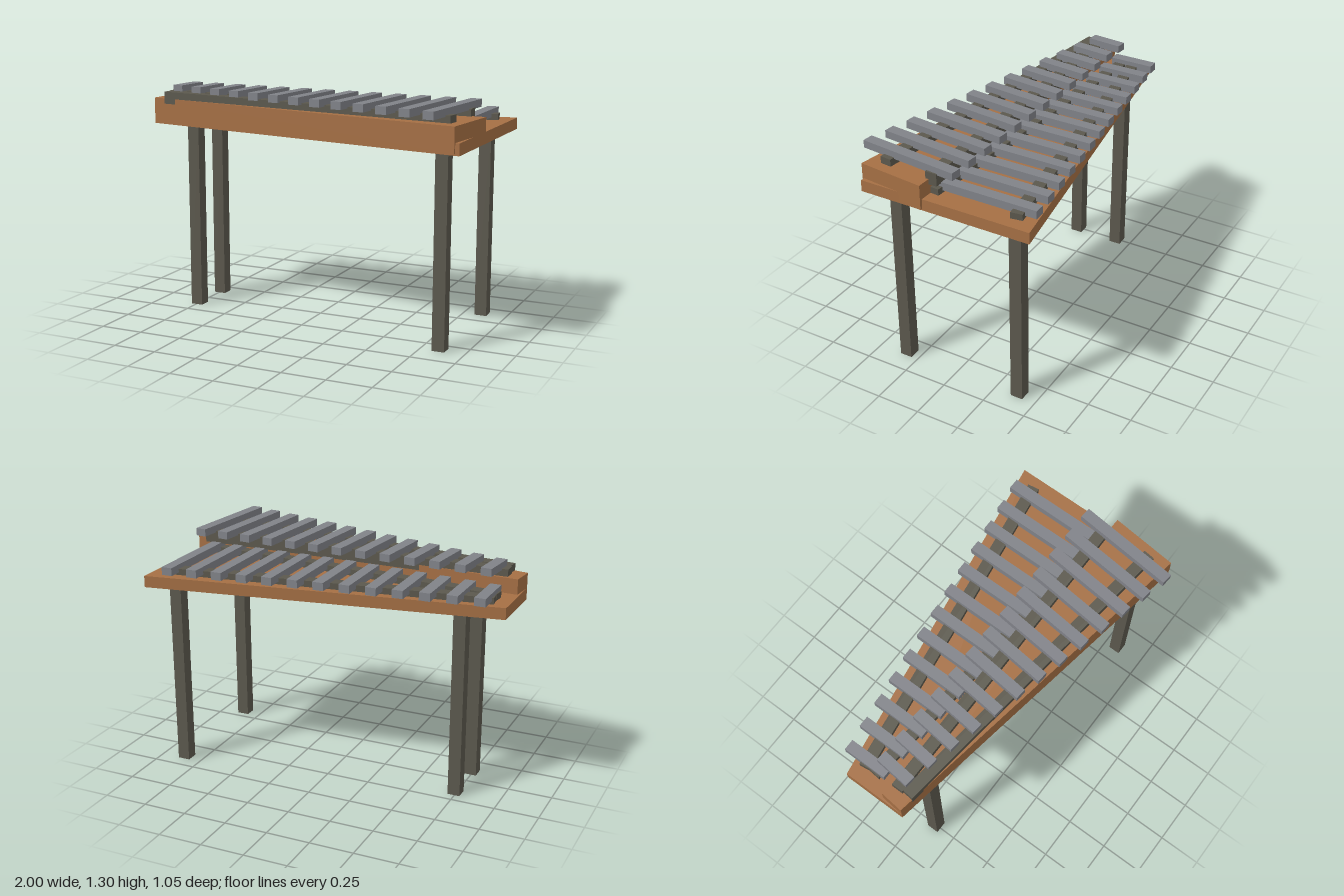
import * as THREE from 'three';

const mat = (name, color) => {
  const m = new THREE.MeshStandardMaterial({ color });
  m.name = name;
  return m;
};

export function createModel() {
  const wood = mat('warm wood', 0xa56f44);
  const dark = mat('dark frame', 0x5b584d);
  const metal = mat('grey metal', 0x808288);
  const model = new THREE.Group();
  model.name = 'tunedBarTable';

  const group = (name) => {
    const g = new THREE.Group();
    g.name = name;
    model.add(g);
    return g;
  };

  // Flat slab from plan corners [x, z] between two heights
  function slab(name, corners, y0, y1) {
    const shape = new THREE.Shape(corners.map(([x, z]) => new THREE.Vector2(x, -z)));
    const geo = new THREE.ExtrudeGeometry(shape, { depth: y1 - y0, bevelEnabled: false });
    geo.rotateX(-Math.PI / 2).translate(0, y0, 0);
    const mesh = new THREE.Mesh(geo, wood);
    mesh.name = name;
    model.add(mesh);
  }

  // Square-ended beam between two plan points
  function beam(parent, name, [x0, z0], [x1, z1], width, y0, y1, material) {
    const dx = x1 - x0, dz = z1 - z0;
    const mesh = new THREE.Mesh(new THREE.BoxGeometry(width, y1 - y0, Math.hypot(dx, dz)), material);
    mesh.position.set((x0 + x1) / 2, (y0 + y1) / 2, (z0 + z1) / 2);
    mesh.rotation.y = Math.atan2(dx, dz);
    mesh.name = name;
    parent.add(mesh);
  }

  // Tapered table and the raised front tier
  slab('lowerBoard', [[-1, 0.15], [0.985, 0.465], [0.985, -0.53], [-1, -0.21]], 1.075, 1.14);
  slab('upperBoard', [[-1, 0.152], [0.96, 0.472], [1, 0.09], [-0.987, 0.02]], 1.085, 1.225);

  // Four square legs
  const legs = group('legs');
  for (const [x, z] of [[-0.745, 0.115], [-0.745, -0.16], [0.855, 0.325], [0.855, -0.39]]) {
    const leg = new THREE.Mesh(new THREE.BoxGeometry(0.07, 1.08, 0.07), dark);
    leg.position.set(x, 0.54, z);
    leg.name = 'leg';
    legs.add(leg);
  }

  // Support rails under each row
  const rails = group('rails');
  beam(rails, 'upperFrontRail', [-0.92, 0.135], [0.912, 0.355], 0.066, 1.195, 1.265, dark);
  beam(rails, 'upperBackRail', [-0.925, 0.073], [0.922, 0.073], 0.066, 1.195, 1.265, dark);
  beam(rails, 'lowerFrontRail', [-0.92, -0.09], [0.912, 0.07], 0.066, 1.105, 1.175, dark);
  beam(rails, 'lowerBackRail', [-0.92, -0.15], [0.912, -0.415], 0.066, 1.105, 1.175, dark);

  // Two rows of thirteen bars, growing longer towards the wide end
  const lowerBars = group('lowerBars');
  const upperBars = group('upperBars');
  const mix = THREE.MathUtils.lerp;
  for (let i = 0; i < 13; i++) {
    const t = i / 12;
    const x = mix(-0.882, 0.85, t);
    beam(lowerBars, 'lowerBar', [x, mix(-0.285, -0.51, t)], [x, mix(-0.03, 0.1, t)], 0.062, 1.155, 1.2, metal);
    beam(upperBars, 'upperBar', [mix(-0.845, 0.895, t), mix(-0.09, -0.06, t)],
      [mix(-0.865, 0.835, t), mix(0.112, 0.52, t)], 0.062, 1.257, 1.3, metal);
  }
  return model;
}
